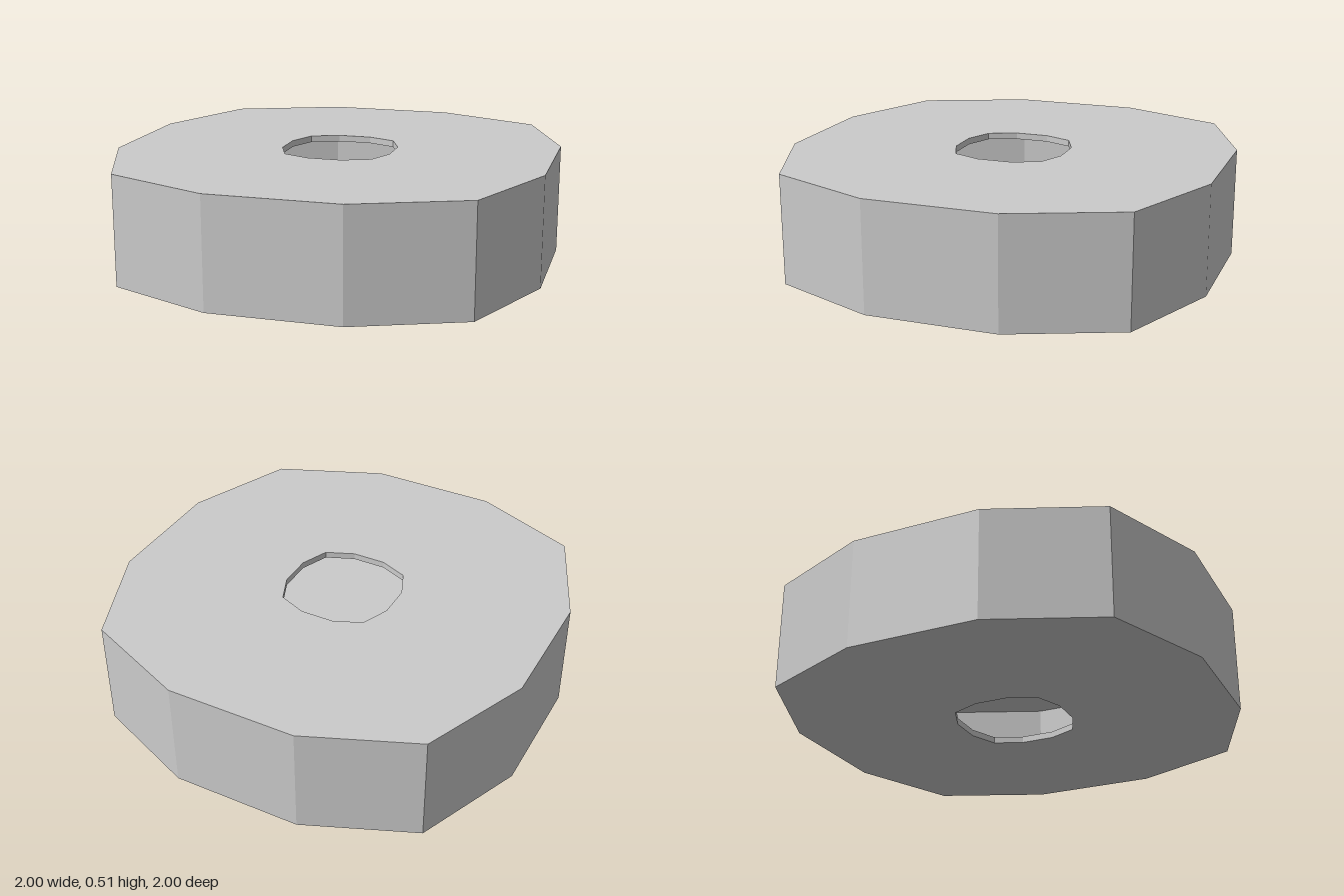
import * as THREE from 'three';

// Twelve-cornered outline, counter-clockwise seen from above, as [x, z]
function outline(scale) {
  const quarter = [[1, 0.3], [0.795, 0.795], [0.3, 1]];
  const points = [];
  for (let q = 0; q < 4; q++) {
    const a = q * Math.PI / 2;
    for (const [u, v] of quarter) {
      const x = u * Math.cos(a) - v * Math.sin(a);
      const y = u * Math.sin(a) + v * Math.cos(a);
      points.push([x * scale, -y * scale]);
    }
  }
  return points;
}

// Joins a closed cycle of [scale, y] rings into one flat-shaded skin
function skinRings(rings) {
  const n = 12, positions = [], index = [];
  for (const [scale, y] of rings) {
    for (const [x, z] of outline(scale)) positions.push(x, y, z);
  }
  for (let k = 0; k < rings.length; k++) {
    const next = (k + 1) % rings.length;
    for (let i = 0; i < n; i++) {
      const j = (i + 1) % n;
      const a = k * n + i, b = k * n + j, c = next * n + j, d = next * n + i;
      index.push(a, b, c, a, c, d);
    }
  }
  const indexed = new THREE.BufferGeometry();
  indexed.setAttribute('position', new THREE.Float32BufferAttribute(positions, 3));
  indexed.setIndex(index);
  const geometry = indexed.toNonIndexed();
  geometry.computeVertexNormals();
  return geometry;
}

export function createModel() {
  const group = new THREE.Group();
  group.name = 'hollowDrum';
  const height = 0.51, wall = 0.03, hole = 0.26, inner = 1 - wall;

  // Thin hollow shell, open through the middle of both plates
  const shell = new THREE.Mesh(
    skinRings([
      [1, 0], [1, height],                             // outer wall
      [hole, height], [hole, height - wall],           // top plate and its hole
      [inner, height - wall], [inner, wall],           // ceiling and inside wall
      [hole, wall], [hole, 0],                         // floor and bottom hole
    ]),
    new THREE.MeshStandardMaterial({ color: 0xcccccc, flatShading: true })
  );
  shell.name = 'shell';
  group.add(shell);
  return group;
}
